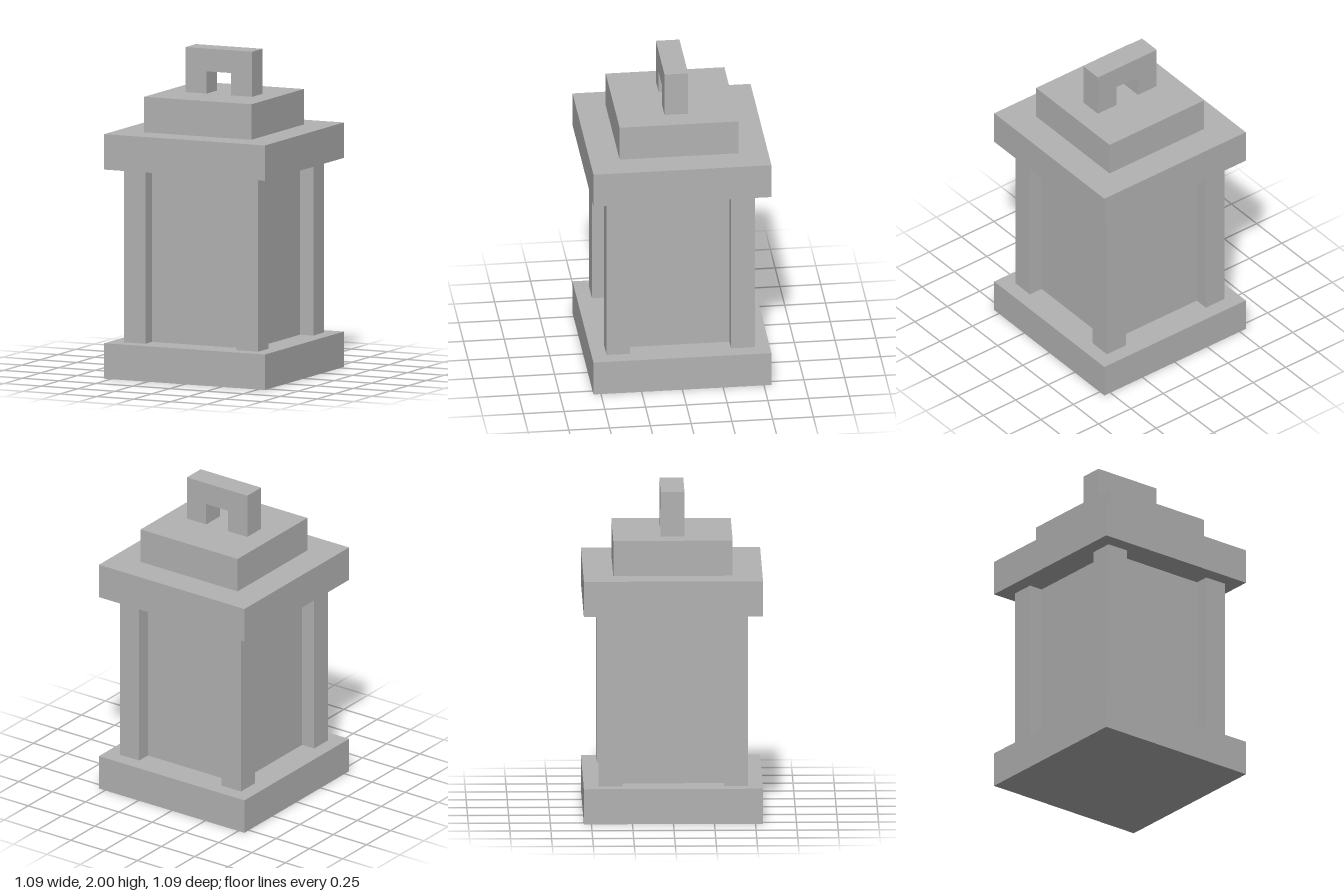
import * as THREE from 'three';

export function createModel() {
  const model = new THREE.Group();
  model.name = 'lantern';
  const stone = new THREE.MeshStandardMaterial({ color: 0xb2b2b2 });
  stone.name = 'grey stone';

  // Box centred on (x, z), spanning y0 to y1
  const addBox = (name, width, depth, y0, y1, x = 0, z = 0) => {
    const mesh = new THREE.Mesh(new THREE.BoxGeometry(width, y1 - y0, depth), stone);
    mesh.name = name;
    mesh.position.set(x, (y0 + y1) / 2, z);
    model.add(mesh);
  };

  const baseTop = 0.218, bodyTop = 1.287, roofTop = 1.505, capTop = 1.723;

  // Stacked square slabs and recessed body
  addBox('base', 1.092, 1.092, 0, baseTop);
  addBox('body', 0.728, 0.728, baseTop, bodyTop);
  addBox('roof', 1.092, 1.092, bodyTop, roofTop);
  addBox('cap', 0.728, 0.728, roofTop, capTop);

  // Corner posts
  const post = 0.145, postCentre = 0.382;
  for (const [sx, front] of [[1, 'left'], [-1, 'right']]) {
    for (const [sz, end] of [[1, 'front'], [-1, 'back']]) {
      addBox(`${end} ${front} post`, post, post, baseTop, bodyTop, sx * postCentre, sz * postCentre);
    }
  }

  // Handle: one extruded arch with a square opening
  const w = 0.227, hole = 0.082, top = 2 - capTop, lintel = 1.86 - capTop, depth = 0.145;
  const arch = new THREE.Shape([
    [-w, 0], [-hole, 0], [-hole, lintel], [hole, lintel],
    [hole, 0], [w, 0], [w, top], [-w, top],
  ].map(([x, y]) => new THREE.Vector2(x, y)));
  const handle = new THREE.Mesh(
    new THREE.ExtrudeGeometry(arch, { depth, bevelEnabled: false }), stone);
  handle.name = 'handle';
  handle.position.set(0, capTop, -depth / 2);
  model.add(handle);

  return model;
}
